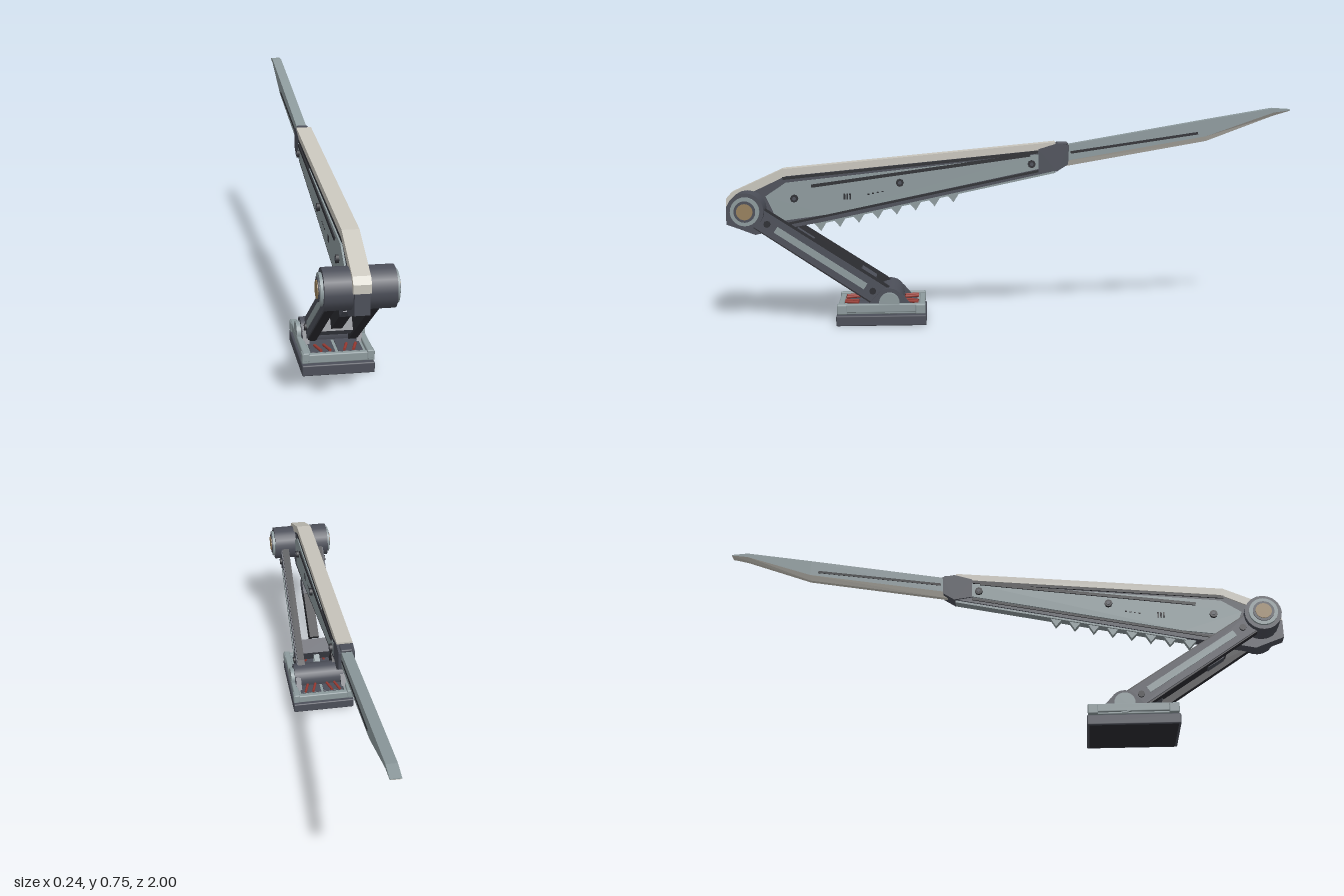
import * as THREE from 'three';
import { RoundedBoxGeometry } from 'three/addons/geometries/RoundedBoxGeometry.js';

const paint = (name, color) => {
  const m = new THREE.MeshStandardMaterial({ color });
  m.name = name;
  return m;
};

export function createModel() {
  const root = new THREE.Group();
  root.name = 'foldingBladeArm';
  const white = paint('bone white', 0xc9c6bd);
  const steel = paint('blue steel', 0x8d9a9d);
  const dark = paint('dark grey', 0x4c4f59);
  const black = paint('near black', 0x2b2c31);
  const brass = paint('brass', 0x97805c);
  const red = paint('red', 0x963a32);

  const add = (name, geo, mat, x = 0, y = 0, z = 0) => {
    const m = new THREE.Mesh(geo, mat);
    m.name = name;
    m.position.set(x, y, z);
    root.add(m);
    return m;
  };
  // Outline given as [z, y] pairs, extruded along x around the given x
  const slab = (name, pts, width, mat, x = 0) => {
    const shape = new THREE.Shape(pts.map(p => new THREE.Vector2(p[0], p[1])));
    const geo = new THREE.ExtrudeGeometry(shape, { depth: width, bevelEnabled: false });
    geo.translate(0, 0, -width / 2).rotateY(-Math.PI / 2);
    return add(name, geo, mat, x);
  };
  const pin = (name, r, width, mat, x, y, z, sides = 24) =>
    add(name, new THREE.CylinderGeometry(r, r, width, sides).rotateZ(Math.PI / 2), mat, x, y, z);
  const box = (name, w, h, d, mat, x, y, z, r = 0.004) =>
    add(name, new RoundedBoxGeometry(w, h, d, 1, r), mat, x, y, z);
  // Thin strip between two [z, y] points
  const strip = (name, a, b, h, width, mat, x) => {
    const l = Math.hypot(b[0] - a[0], b[1] - a[1]);
    const n = [-(b[1] - a[1]) / l * h / 2, (b[0] - a[0]) / l * h / 2];
    return slab(name, [[a[0] - n[0], a[1] - n[1]], [b[0] - n[0], b[1] - n[1]],
      [b[0] + n[0], b[1] + n[1]], [a[0] + n[0], a[1] + n[1]]], width, mat, x);
  };
  // Four-sided loft; each row is [z, top y, top half width, bottom y, bottom half width]
  const loft = (name, rows, mat) => {
    const pos = [], idx = [];
    for (const [z, yt, wt, yb, wb] of rows) pos.push(wt, yt, z, -wt, yt, z, -wb, yb, z, wb, yb, z);
    for (let i = 0; i < rows.length - 1; i++) {
      for (let j = 0; j < 4; j++) {
        const a = i * 4 + j, b = i * 4 + (j + 1) % 4;
        idx.push(a, a + 4, b, b, a + 4, b + 4);
      }
    }
    const e = (rows.length - 1) * 4;
    idx.push(0, 1, 2, 0, 2, 3, e, e + 2, e + 1, e, e + 3, e + 2);
    let geo = new THREE.BufferGeometry();
    geo.setAttribute('position', new THREE.Float32BufferAttribute(pos, 3));
    geo.setIndex(idx);
    geo = geo.toNonIndexed();
    geo.computeVertexNormals();
    return add(name, geo, mat);
  };

  // Foot: pad, plate, rim, clamps and red struts
  box('footPad', 0.236, 0.036, 0.316, dark, 0, 0.018, 0.458);
  box('footSole', 0.22, 0.004, 0.30, black, 0, 0.0018, 0.458, 0.001);
  box('footPlate', 0.216, 0.024, 0.30, steel, 0, 0.052, 0.458);
  for (const s of [-1, 1]) {
    box('footSideRail', 0.022, 0.03, 0.31, steel, s * 0.104, 0.062, 0.458);
    box('footEndRail', 0.2, 0.03, 0.02, steel, 0, 0.056, 0.458 + s * 0.143);
    box('footInnerPanel', 0.08, 0.004, 0.25, dark, s * 0.045, 0.065, 0.458, 0.001);
    for (const e of [-1, 1]) {
      box('footClamp', 0.022, 0.034, 0.035, steel, s * 0.107, 0.058, 0.458 + e * 0.137);
      for (const k of [0.03, 0.06]) {
        const rod = add('footStrut', new THREE.CylinderGeometry(0.005, 0.005, 0.05, 8), red,
          s * k, 0.074, 0.458 + e * 0.105);
        rod.rotation.set(Math.PI / 2, 0, s * 0.3);
      }
    }
  }

  // Lower joint
  pin('lowerHub', 0.05, 0.2, dark, 0, 0.08, 0.43);
  for (const s of [-1, 1]) {
    pin('lowerHubCap', 0.036, 0.014, steel, s * 0.107, 0.08, 0.43);
    slab('hubBracket', [[0.51, 0.065], [0.35, 0.065], [0.385, 0.105], [0.475, 0.105]], 0.02, dark, s * 0.088);
  }

  // Twin link arms; points are measured along and across the link
  const ang = Math.atan2(0.33, 0.495), c = Math.cos(ang), n = Math.sin(ang);
  const P = (a, b) => [0.43 + a * c - b * n, 0.08 + a * n + b * c];
  const bar = (name, a0, a1, h, w, mat, x) => strip(name, P(a0, 0), P(a1, 0), h, w, mat, x);
  for (const s of [-1, 1]) {
    slab('linkArm', [P(0, -0.04), P(0.05, -0.042), P(0.57, -0.038), P(0.6, -0.015), P(0.6, 0.015),
      P(0.57, 0.038), P(0.05, 0.042), P(0, 0.04)], 0.027, black, s * 0.068);
    slab('linkCover', [P(0.03, -0.036), P(0.57, -0.034), P(0.57, 0.034), P(0.03, 0.036)], 0.006, dark, s * 0.083);
    bar('linkInlay', 0.1, 0.47, 0.024, 0.004, steel, s * 0.0865);
    for (const a of [0.07, 0.505]) pin('linkBolt', 0.012, 0.014, black, s * 0.086, P(a, 0)[1], P(a, 0)[0], 8);
  }
  // Piston and cross brace between the arms
  bar('pistonBody', 0.15, 0.42, 0.055, 0.036, black, 0);
  bar('pistonCollar', 0.34, 0.41, 0.062, 0.038, dark, 0);
  bar('pistonRod', 0, 0.58, 0.024, 0.022, steel, 0);
  bar('crossBrace', 0.08, 0.14, 0.065, 0.11, dark, 0);

  // Upper joint
  const hy = 0.408, hz = 0.922;
  for (const s of [-1, 1]) {
    pin('upperHub', 0.064, 0.084, dark, s * 0.065, hy, hz, 20);
    pin('upperHubCap', 0.05, 0.014, steel, s * 0.109, hy, hz);
    pin('hubRing', 0.037, 0.006, dark, s * 0.1165, hy, hz);
    pin('hubAxle', 0.028, 0.009, brass, s * 0.1175, hy, hz);
  }

  // Sheath core with white spine running over its top and nose
  slab('sheathCore', [[0.99, 0.43], [0.975, 0.45], [0.8, 0.53], [-0.12, 0.615], [-0.15, 0.53], [0.66, 0.357],
    [0.855, 0.322], [0.9, 0.312], [0.985, 0.345]], 0.045, dark);
  slab('sheathSpine', [[0.998, 0.415], [0.998, 0.442], [0.98, 0.463], [0.8, 0.545], [-0.16, 0.635],
    [-0.16, 0.612], [0.79, 0.52], [0.955, 0.442], [0.975, 0.415]], 0.054, white);
  slab('sheathNose', [[1, 0.35], [1, 0.415], [0.96, 0.415], [0.96, 0.335]], 0.046, dark);
  strip('sheathKeel', [0.66, 0.357], [-0.16, 0.53], 0.012, 0.034, steel, 0);
  for (const s of [-1, 1]) {
    slab('sidePanel', [[0.86, 0.45], [0.79, 0.497], [-0.1, 0.592], [-0.1, 0.54], [0.65, 0.383], [0.82, 0.36]],
      0.006, steel, s * 0.0255);
    strip('sideRail', [0.7, 0.485], [-0.07, 0.59], 0.011, 0.008, black, s * 0.029);
    strip('upperSeam', [0.8, 0.512], [-0.1, 0.6], 0.01, 0.006, black, s * 0.0245);
    strip('lowerSeam', [0.8, 0.348], [-0.1, 0.532], 0.008, 0.006, black, s * 0.0235);
    for (const [z, y] of [[0.76, 0.442], [0.39, 0.495], [-0.075, 0.558]]) {
      pin('panelBolt', 0.014, 0.012, black, s * 0.032, y, z, 8);
      pin('panelBoltHead', 0.007, 0.006, dark, s * 0.037, y, z, 6);
    }
    // Vent slots
    for (let i = 0; i < 3; i++) box('ventSlot', 0.006, 0.022, 0.006, black, s * 0.027, 0.447, 0.565 + i * 0.01, 0.001);
    for (let i = 0; i < 4; i++) box('ventDot', 0.006, 0.005, 0.007, black, s * 0.027, 0.455 + i * 0.003, 0.5 - i * 0.016, 0.001);
  }

  // Clamp at the blade root
  slab('bladeClamp', [[-0.1, 0.61], [-0.165, 0.63], [-0.208, 0.623], [-0.205, 0.556], [-0.165, 0.53], [-0.09, 0.54]],
    0.056, dark);
  box('clampCap', 0.04, 0.01, 0.04, dark, 0, 0.628, -0.185);

  // Blade with bevelled lower edge
  const w = 0.018;
  loft('blade', [[-0.19, 0.622, w, 0.566, w], [-0.7, 0.71, w, 0.652, w],
    [-0.94, 0.75, w, 0.735, w], [-1, 0.746, w, 0.743, w]], steel);
  loft('bladeEdge', [[-0.19, 0.566, w, 0.546, 0.008], [-0.7, 0.652, w, 0.634, 0.008],
    [-0.94, 0.735, w, 0.723, 0.008], [-1, 0.743, w, 0.741, 0.012]], white);
  for (const s of [-1, 1]) strip('bladeGroove', [-0.215, 0.597], [-0.67, 0.663], 0.009, 0.004, black, s * 0.0175);

  // Row of saw teeth under the sheath
  for (let i = 0; i < 8; i++) {
    const z = 0.67 - i * 0.067, y = 0.36 + (0.66 - z) * 0.211;
    slab('sawTooth', [[z + 0.03, y - 0.002], [z, y - 0.036], [z - 0.028, y + 0.01]], 0.022, steel);
  }
  return root;
}
